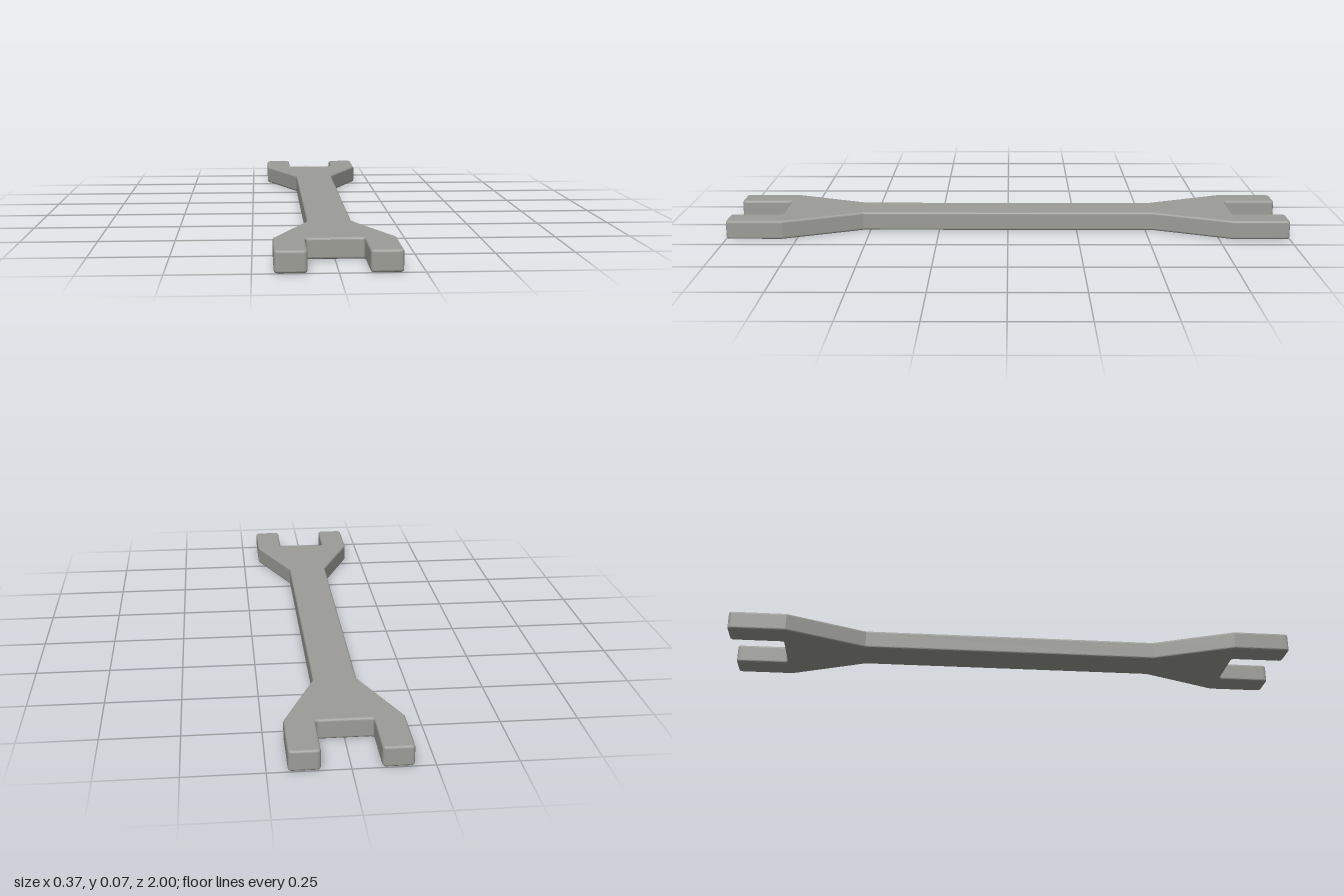
import * as THREE from 'three';

const THICKNESS = 0.067;
const BEVEL = 0.008;

// Outline with each corner [x, y, radius] rounded off by its radius.
function roundedShape(corners) {
  const shape = new THREE.Shape();
  const n = corners.length;
  corners.forEach(([x, y, r], i) => {
    const here = new THREE.Vector2(x, y);
    const [px, py] = corners[(i + n - 1) % n];
    const [nx, ny] = corners[(i + 1) % n];
    const toward = (tx, ty) =>
      new THREE.Vector2(tx, ty).sub(here).setLength(r).add(here);
    const a = toward(px, py);
    const b = toward(nx, ny);
    if (i === 0) shape.moveTo(a.x, a.y);
    else shape.lineTo(a.x, a.y);
    if (r > 0) shape.quadraticCurveTo(x, y, b.x, b.y);
  });
  shape.closePath();
  return shape;
}

export function createModel() {
  const steel = new THREE.MeshStandardMaterial({ color: 0x9c9d97 });
  steel.name = 'dull steel grey';

  // One quarter: shaft edge, flared head, jaw tip, slot.
  const quarter = [
    [0.072, 0.525, 0],
    [0.187, 0.8, 0],
    [0.187, 1, 0.014],
    [0.09, 1, 0.014],
    [0.09, 0.813, 0.012],
  ];
  // Mirror across the width for one head, then turn it for the other end.
  const head = [...quarter, ...quarter.map(([x, y, r]) => [-x, y, r]).reverse()];
  const outline = [...head, ...head.map(([x, y, r]) => [-x, -y, r])];

  const geometry = new THREE.ExtrudeGeometry(roundedShape(outline), {
    depth: THICKNESS - 2 * BEVEL,
    bevelEnabled: true,
    bevelSize: BEVEL,
    bevelThickness: BEVEL,
    bevelOffset: -BEVEL,
    bevelSegments: 5,
    curveSegments: 5,
  });
  // Lay the wrench flat on the ground.
  geometry.translate(0, 0, BEVEL);
  geometry.rotateX(-Math.PI / 2);

  const body = new THREE.Mesh(geometry, steel);
  body.name = 'wrenchBody';

  const group = new THREE.Group();
  group.name = 'doubleEndedWrench';
  group.add(body);
  return group;
}
